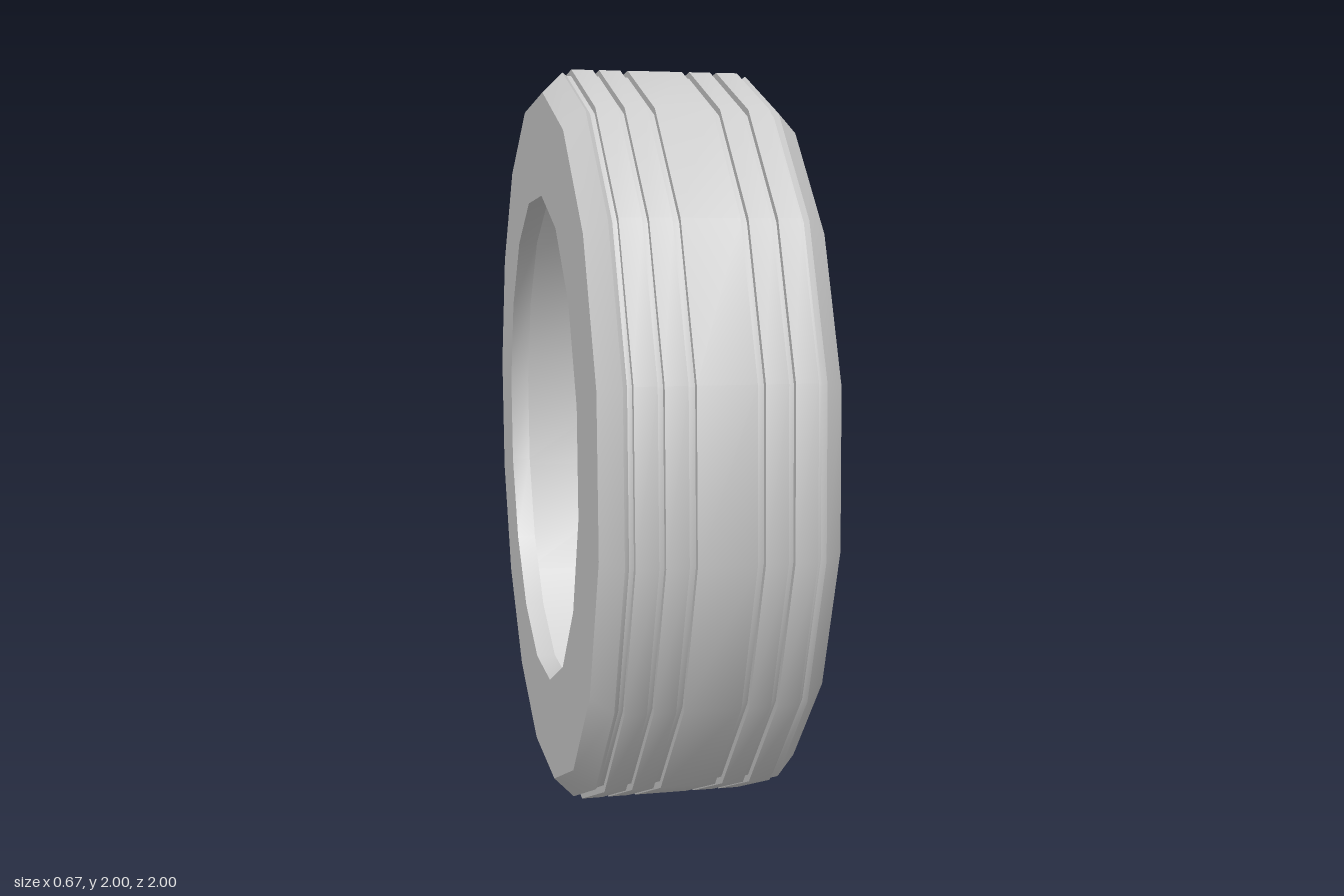
import * as THREE from 'three';
import { mergeGeometries, mergeVertices } from 'three/addons/utils/BufferGeometryUtils.js';

const SIDES = 16;
const TURN = THREE.MathUtils.degToRad(8.4);
const TAPER = 0.108; // the tyre gets narrower towards the front

// Spins one straight piece of the profile about the x axis: smooth around, sharp across
function band([x1, r1], [x2, r2]) {
  const points = [new THREE.Vector2(r1, x1), new THREE.Vector2(r2, x2)];
  let geo = new THREE.LatheGeometry(points, SIDES, TURN);
  geo.rotateZ(-Math.PI / 2);
  const p = geo.attributes.position;
  for (let i = 0; i < p.count; i++) p.setX(i, p.getX(i) * (1 - TAPER * p.getZ(i)));
  geo.deleteAttribute('uv');
  geo.deleteAttribute('normal');
  geo = mergeVertices(geo, 1e-4);
  geo.computeVertexNormals();
  return geo;
}

function spin(name, profile, material) {
  const bands = profile.slice(1).map((point, i) => band(profile[i], point));
  const mesh = new THREE.Mesh(mergeGeometries(bands), material);
  mesh.name = name;
  mesh.position.y = 1;
  return mesh;
}

// The same profile on the other side, in reverse order
const mirror = (profile) => profile.map(([x, r]) => [-x, r]).reverse();

export function createModel() {
  const tyre = new THREE.Group();
  tyre.name = 'tyre';
  const rubber = new THREE.MeshStandardMaterial({ color: 0xcccccc });

  const top = 1.01, groove = 0.993, shoulder = 0.95;
  const bore = 0.68, cavity = 0.965;
  const halfWidth = 0.305, wall = 0.253;

  // Tread: ribs and grooves from the middle out to the chamfered shoulder
  const halfTread = [
    [0.075, top], [0.075, groove], [0.095, groove],
    [0.095, top], [0.153, top], [0.153, groove], [0.17, groove],
    [0.17, top], [0.228, top], [0.228, groove], [0.24, groove],
    [0.252, 1.002], [halfWidth, shoulder],
  ];
  tyre.add(spin('tread', [...mirror(halfTread), ...halfTread], rubber));

  // Sidewalls: outer face, bead edge and inner face
  const side = [[halfWidth, shoulder], [halfWidth, bore], [wall, bore], [wall, cavity]];
  tyre.add(spin('leftSidewall', side, rubber));
  tyre.add(spin('rightSidewall', mirror(side), rubber));

  // Lining: the inside of the tread
  tyre.add(spin('lining', [[wall, cavity], [-wall, cavity]], rubber));

  return tyre;
}
